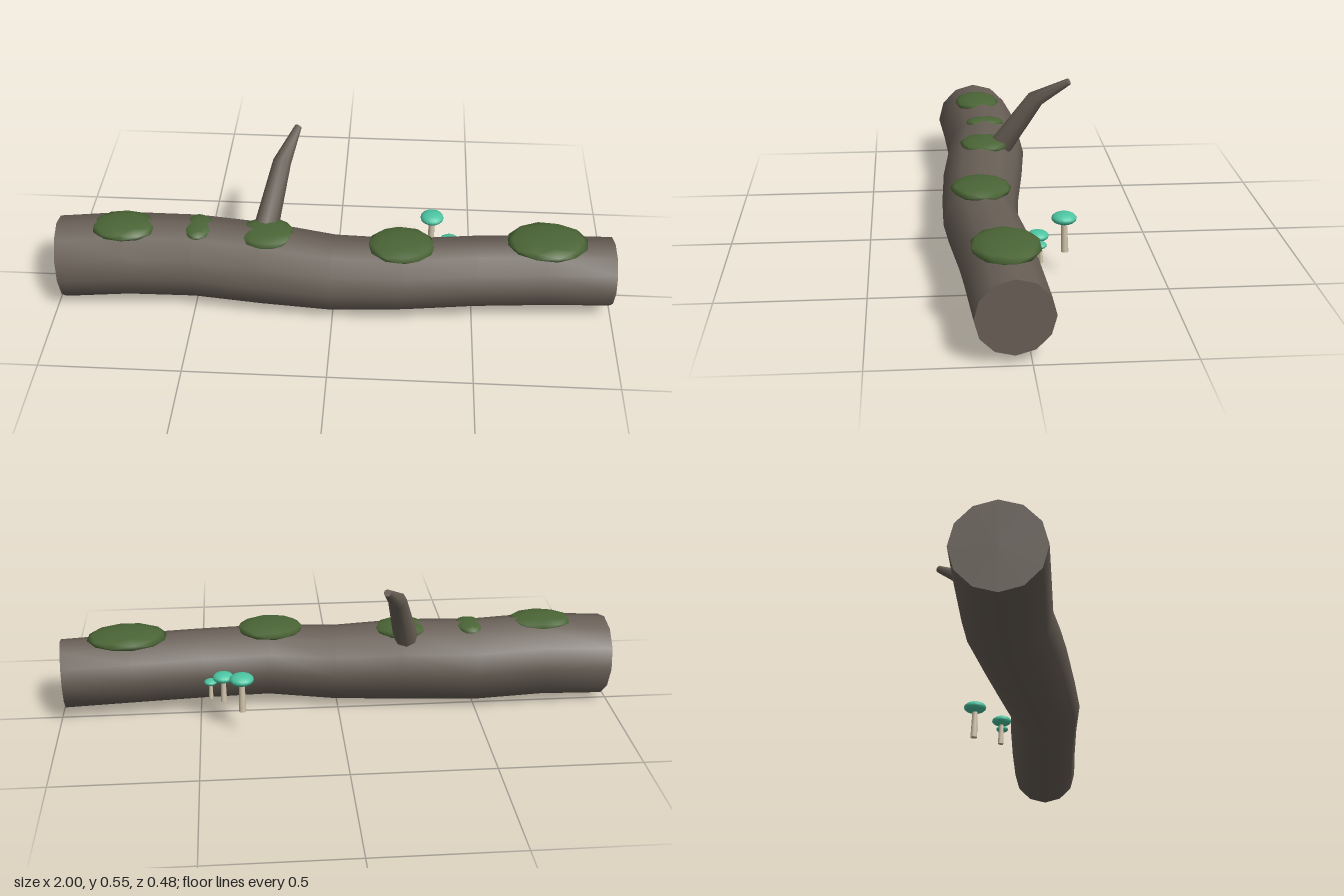
import * as THREE from 'three';

const mat = (name, color) => {
  const m = new THREE.MeshStandardMaterial({ color });
  m.name = name;
  return m;
};

// Lofts round cross-sections [x, y, z, radius] into a closed limb with flat ends.
function limb(stations, sides, ref) {
  const pts = stations.map((s) => new THREE.Vector3(s[0], s[1], s[2]));
  const last = pts.length - 1;
  const pos = [];
  const idx = [];
  const rings = pts.map((c, i) => {
    const t = pts[Math.min(i + 1, last)].clone().sub(pts[Math.max(i - 1, 0)]).normalize();
    const n = ref.clone().addScaledVector(t, -ref.dot(t)).normalize();
    const b = t.clone().cross(n);
    return Array.from({ length: sides }, (_, j) => {
      const a = (j / sides) * Math.PI * 2;
      return c.clone()
        .addScaledVector(n, Math.cos(a) * stations[i][3])
        .addScaledVector(b, Math.sin(a) * stations[i][3]);
    });
  });
  rings.flat().forEach((p) => pos.push(p.x, p.y, p.z));
  for (let i = 0; i < last; i++) {
    for (let j = 0; j < sides; j++) {
      const k = (j + 1) % sides;
      const a = i * sides + j, b = i * sides + k;
      idx.push(a, b, b + sides, a, b + sides, a + sides);
    }
  }
  // End faces have their own vertices so the rims stay sharp
  [0, last].forEach((end) => {
    const start = pos.length / 3;
    [pts[end], ...rings[end]].forEach((p) => pos.push(p.x, p.y, p.z));
    for (let j = 0; j < sides; j++) {
      const a = start + 1 + j, b = start + 1 + ((j + 1) % sides);
      if (end) idx.push(start, a, b);
      else idx.push(start, b, a);
    }
  });
  const g = new THREE.BufferGeometry();
  g.setAttribute('position', new THREE.Float32BufferAttribute(pos, 3));
  g.setIndex(idx);
  g.computeVertexNormals();
  return g;
}

export function createModel() {
  const bark = mat('bark', 0x685f56);
  const moss = mat('moss', 0x4b6536);
  const teal = mat('mushroom cap', 0x4cc5a2);
  const cream = mat('mushroom stem', 0xcfc2a8);

  const model = new THREE.Group();
  model.name = 'fallenLog';
  const add = (parent, name, geometry, material) => {
    const m = new THREE.Mesh(geometry, material);
    m.name = name;
    parent.add(m);
    return m;
  };

  // Gently bent trunk
  add(model, 'trunk', limb([
    [-0.986, 0.15, 0.075, 0.148],
    [-0.75, 0.164, 0.061, 0.15],
    [-0.5, 0.156, 0.05, 0.149],
    [-0.25, 0.153, 0.077, 0.148],
    [0, 0.141, 0.1, 0.137],
    [0.25, 0.155, 0.112, 0.128],
    [0.5, 0.16, 0.086, 0.127],
    [0.75, 0.159, 0.066, 0.126],
    [0.991, 0.154, 0.051, 0.124],
  ], 12, new THREE.Vector3(0, 1, 0)), bark);

  // Broken, kinked branch
  add(model, 'branch', limb([
    [-0.255, 0.24, 0.028, 0.046],
    [-0.198, 0.465, -0.117, 0.033],
    [-0.148, 0.543, -0.235, 0.013],
  ], 8, new THREE.Vector3(1, 0, 0)), bark);

  // Moss cushions: centre, then half sizes
  [
    [-0.75, 0.295, 0.072, 0.12, 0.025, 0.088],
    [-0.485, 0.288, 0.055, 0.055, 0.02, 0.075],
    [-0.24, 0.283, 0.07, 0.1, 0.022, 0.092],
    [0.24, 0.283, 0.11, 0.12, 0.024, 0.105],
    [0.755, 0.284, 0.062, 0.145, 0.026, 0.113],
  ].forEach(([x, y, z, rx, ry, rz], i) => {
    const g = new THREE.IcosahedronGeometry(1, 1).rotateY(i * 0.7);
    add(model, 'mossPatch' + (i + 1), g.scale(rx, ry, rz).translate(x, y, z), moss);
  });

  // Mushrooms: cap centre, cap radius, stem foot height, stem radius
  [
    [0.35, 0.207, -0.164, 0.043, 0.085, 0.013],
    [0.415, 0.173, -0.069, 0.037, 0.08, 0.011],
    [0.46, 0.157, -0.072, 0.023, 0.095, 0.008],
  ].forEach(([x, y, z, r, foot, stem], i) => {
    const mushroom = new THREE.Group();
    mushroom.name = 'mushroom' + (i + 1);
    add(mushroom, 'cap', new THREE.SphereGeometry(r, 16, 10).scale(1, 0.48, 1).translate(x, y, z), teal);
    add(mushroom, 'stem', limb([
      [x, foot, z - 0.004, stem],
      [x, y, z, stem * 0.75],
    ], 10, new THREE.Vector3(1, 0, 0)), cream);
    model.add(mushroom);
  });

  return model;
}
